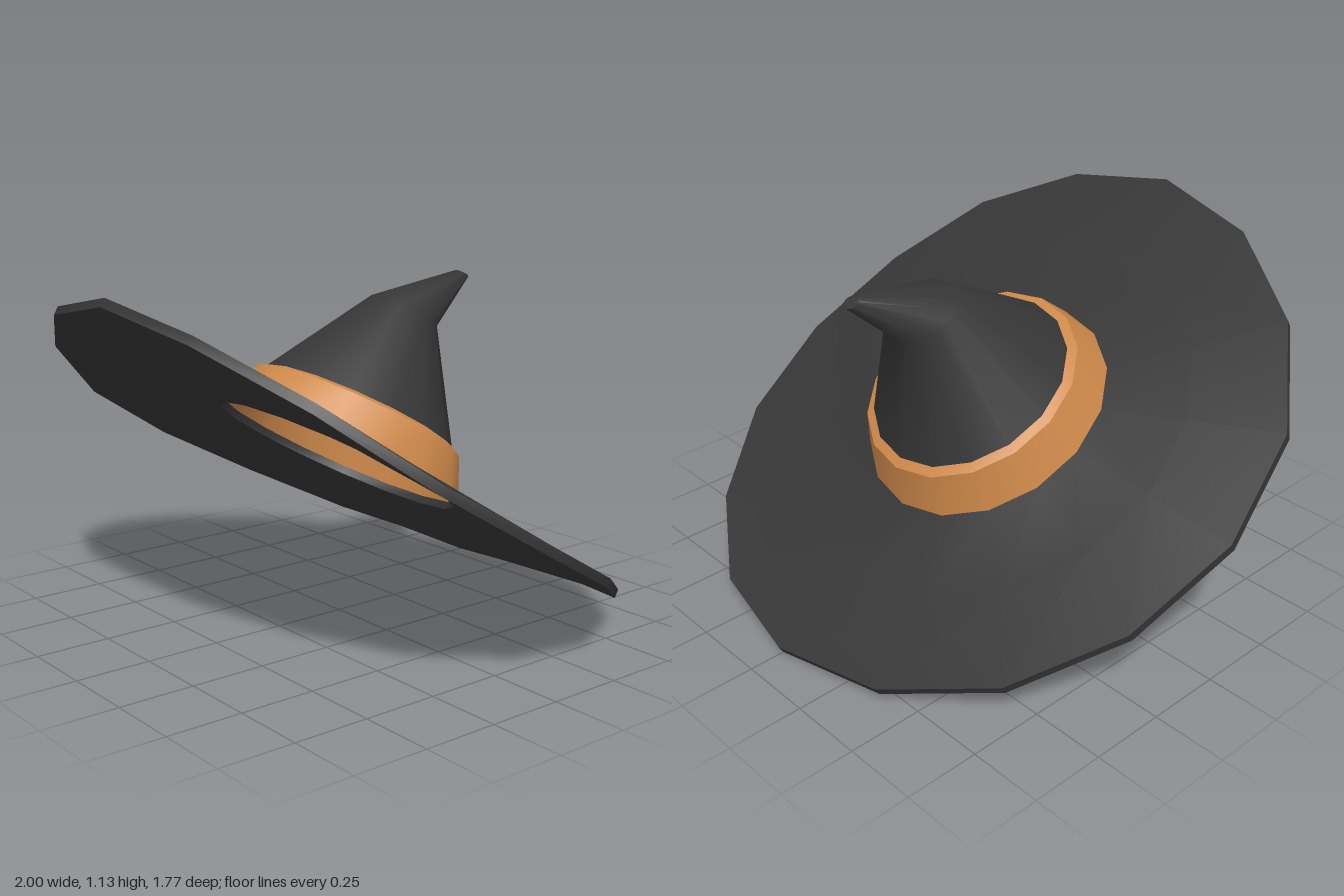
import * as THREE from 'three';
import { toCreasedNormals } from 'three/addons/utils/BufferGeometryUtils.js';

const SIDES = 16;

// Skin a list of elliptical rings; y is a number or a rule of (angle, index)
function loft(rings, crease) {
  const pos = [], index = [];
  for (const { rx, rz, cz = 0, y } of rings) {
    for (let j = 0; j < SIDES; j++) {
      const t = (j / SIDES) * Math.PI * 2;
      pos.push(rx * Math.sin(t), typeof y === 'function' ? y(t, j) : y, cz + rz * Math.cos(t));
    }
  }
  for (let i = 0; i < rings.length - 1; i++) {
    for (let j = 0; j < SIDES; j++) {
      const k = (j + 1) % SIDES;
      const a = i * SIDES + j, b = i * SIDES + k;
      index.push(a, b, b + SIDES, a, b + SIDES, a + SIDES);
    }
  }
  const geo = new THREE.BufferGeometry();
  geo.setAttribute('position', new THREE.Float32BufferAttribute(pos, 3));
  geo.setIndex(index);
  return toCreasedNormals(geo, crease);
}

export function createModel() {
  const cloth = new THREE.MeshStandardMaterial({ color: 0x363636, side: THREE.DoubleSide });
  cloth.name = 'dark cloth';
  const orange = new THREE.MeshStandardMaterial({ color: 0xce894a, side: THREE.DoubleSide });
  orange.name = 'orange band';

  const hat = new THREE.Group();
  hat.name = 'pointedHat';
  const add = (name, geo, material) => {
    const mesh = new THREE.Mesh(geo, material);
    mesh.name = name;
    hat.add(mesh);
  };

  // Wavy brim: edge heights from front to back, mirrored left and right
  const edge = [0.06, 0.027, -0.02, -0.075, -0.083, -0.066, -0.047, -0.01, 0.012];
  const thick = 0.03;
  const rim = (t, j) => edge[Math.min(j, SIDES - j)];
  const mid = (t) => -0.03 + 0.027 * Math.cos(t);
  add('brim', loft([
    { rx: 0.415, rz: 0.43, y: 0.012 },
    { rx: 0.415, rz: 0.43, y: -0.015 },
    { rx: 0.7, rz: 0.71, y: (t) => mid(t) - thick },
    { rx: 1, rz: 1.035, y: (t, j) => rim(t, j) - thick },
    { rx: 1, rz: 1.035, y: rim },
    { rx: 0.7, rz: 0.71, y: mid },
    { rx: 0.415, rz: 0.43, y: 0.012 },
  ], 1.0), cloth);

  // Band with a narrow lip on its upper edge
  add('band', loft([
    { rx: 0.418, rz: 0.435, y: 0.008 },
    { rx: 0.365, rz: 0.377, y: 0.147 },
    { rx: 0.335, rz: 0.345, y: 0.16 },
  ], 0.7), orange);

  // Crown with a backward-bent, blunt tip
  add('crown', loft([
    { rx: 0.34, rz: 0.35, y: 0.152 },
    { rx: 0.122, rz: 0.125, cz: -0.008, y: 0.526 },
    { rx: 0.026, rz: 0.026, cz: -0.18, y: 0.757 },
    { rx: 0, rz: 0, cz: -0.18, y: 0.757 },
  ], 1.0), cloth);

  // Tip the hat backward so the front of the brim is raised
  hat.rotation.x = -THREE.MathUtils.degToRad(31);
  hat.position.y = 0.55;
  const model = new THREE.Group();
  model.name = 'hat';
  model.add(hat);
  return model;
}
